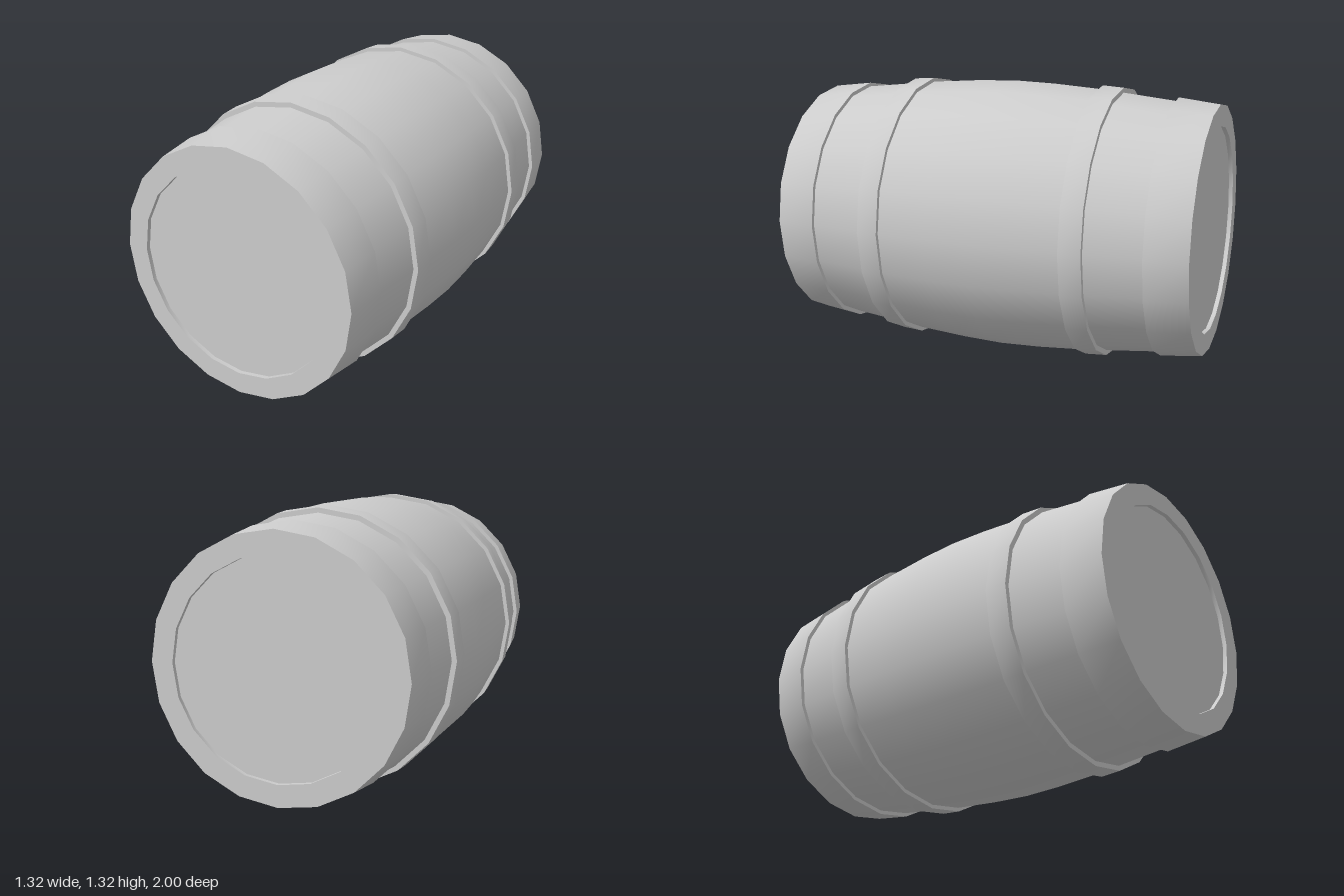
import * as THREE from 'three';
import { toCreasedNormals } from 'three/addons/utils/BufferGeometryUtils.js';

const SIDES = 20;
const CENTRE_Y = 0.66;

export function createModel() {
  const barrel = new THREE.Group();
  barrel.name = 'barrel';
  const material = new THREE.MeshStandardMaterial({ color: 0xcccccc });

  // Spin a profile of [radius, z] pairs around the lengthwise axis.
  function addTurned(name, profile) {
    const points = profile.map(([r, z]) => new THREE.Vector2(r, z));
    const turned = new THREE.LatheGeometry(points, SIDES).rotateX(Math.PI / 2);
    const mesh = new THREE.Mesh(toCreasedNormals(turned, 0.5), material);
    mesh.name = name;
    mesh.position.y = CENTRE_Y;
    barrel.add(mesh);
  }

  // Bulging staves
  const bulge = [[0.572, 1], [0.597, 0.8], [0.625, 0.54], [0.636, 0.44], [0.653, 0.2], [0.66, 0]];
  const back = bulge.map(([r, z]) => [r, -z]);
  addTurned('staves', [...back, ...bulge.slice(0, -1).reverse()]);

  for (const side of [1, -1]) {
    const end = side > 0 ? 'front' : 'back';
    // Profiles are listed back to front; the far end reverses them.
    const place = (p) => (side > 0 ? p : p.map(([r, z]) => [r, -z]).reverse());

    // Recessed head with its rim
    addTurned(end + 'Head', place([[0.572, 1], [0.49, 1], [0.49, 0.98], [0, 0.98]]));

    // Wide hoop at the end, narrow hoop nearer the middle
    addTurned(end + 'EndHoop', place([[0.59, 0.805], [0.615, 0.805], [0.592, 1], [0.572, 1]]));
    addTurned(end + 'MiddleHoop', place([[0.63, 0.44], [0.655, 0.44], [0.648, 0.543], [0.62, 0.543]]));
  }
  return barrel;
}
